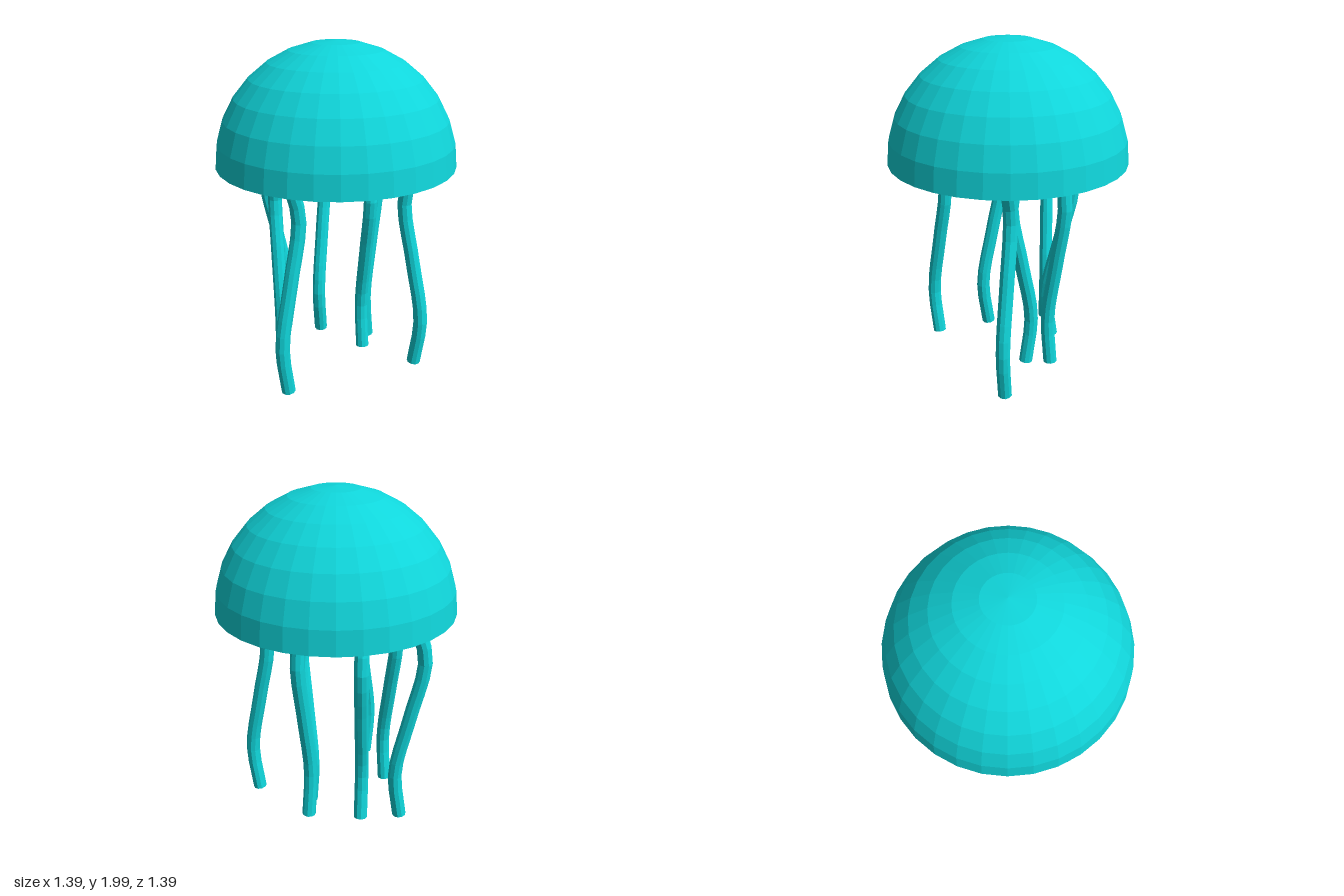
import * as THREE from 'three';

const RADIUS = 0.695;   // bell radius
const RIM_Y = 1.305;    // height of the bell's flat underside
const TUBE = 0.042;     // tentacle radius

// Height and sideways sway of each control point along a tentacle
const SWAY = [[1.34, -0.1], [1.28, 0.25], [1.08, 1], [0.7, 0], [0.32, -1], [0.014, -0.5]];

// Tentacle positions (x, z) and the direction in which each one sways
const TENTACLES = [
  { at: [-0.34, 0.33], sway: [0.06, -0.03] },
  { at: [-0.35, -0.04], sway: [0, -0.07] },
  { at: [-0.295, -0.41], sway: [-0.065, -0.03] },
  { at: [-0.01, -0.36], sway: [0.037, -0.065] },
  { at: [0.192, -0.005], sway: [0.005, 0.07] },
  { at: [0.278, -0.19], sway: [0.043, -0.025] },
  { at: [0.43, 0.195], sway: [-0.05, -0.045] },
];

function createTentacle({ at, sway }, material) {
  const group = new THREE.Group();
  group.name = 'tentacle';
  const curve = new THREE.CatmullRomCurve3(
    SWAY.map(([y, s]) => new THREE.Vector3(at[0] + s * sway[0], y, at[1] + s * sway[1]))
  );
  const stem = new THREE.Mesh(new THREE.TubeGeometry(curve, 14, TUBE, 10), material);
  stem.name = 'tentacleStem';

  // Flat tip closing the lower end
  const tip = new THREE.Mesh(new THREE.CircleGeometry(TUBE, 10), material);
  tip.name = 'tentacleTip';
  tip.position.copy(curve.getPoint(1));
  tip.quaternion.setFromUnitVectors(new THREE.Vector3(0, 0, 1), curve.getTangent(1));
  group.add(stem, tip);
  return group;
}

export function createModel() {
  const model = new THREE.Group();
  model.name = 'jellyfish';
  const turquoise = new THREE.MeshStandardMaterial({ color: 0x10d6db });
  turquoise.name = 'turquoise';
  turquoise.flatShading = true;

  // Faceted hemispherical bell
  const bell = new THREE.Mesh(
    new THREE.SphereGeometry(RADIUS, 32, 8, 0, Math.PI * 2, 0, Math.PI / 2), turquoise);
  bell.name = 'bell';
  bell.position.y = RIM_Y;

  // Flat underside facing down
  const underside = new THREE.Mesh(new THREE.CircleGeometry(RADIUS, 32), turquoise);
  underside.name = 'bellUnderside';
  underside.rotation.x = Math.PI / 2;
  underside.position.y = RIM_Y;
  model.add(bell, underside);

  for (const tentacle of TENTACLES) model.add(createTentacle(tentacle, turquoise));
  return model;
}
